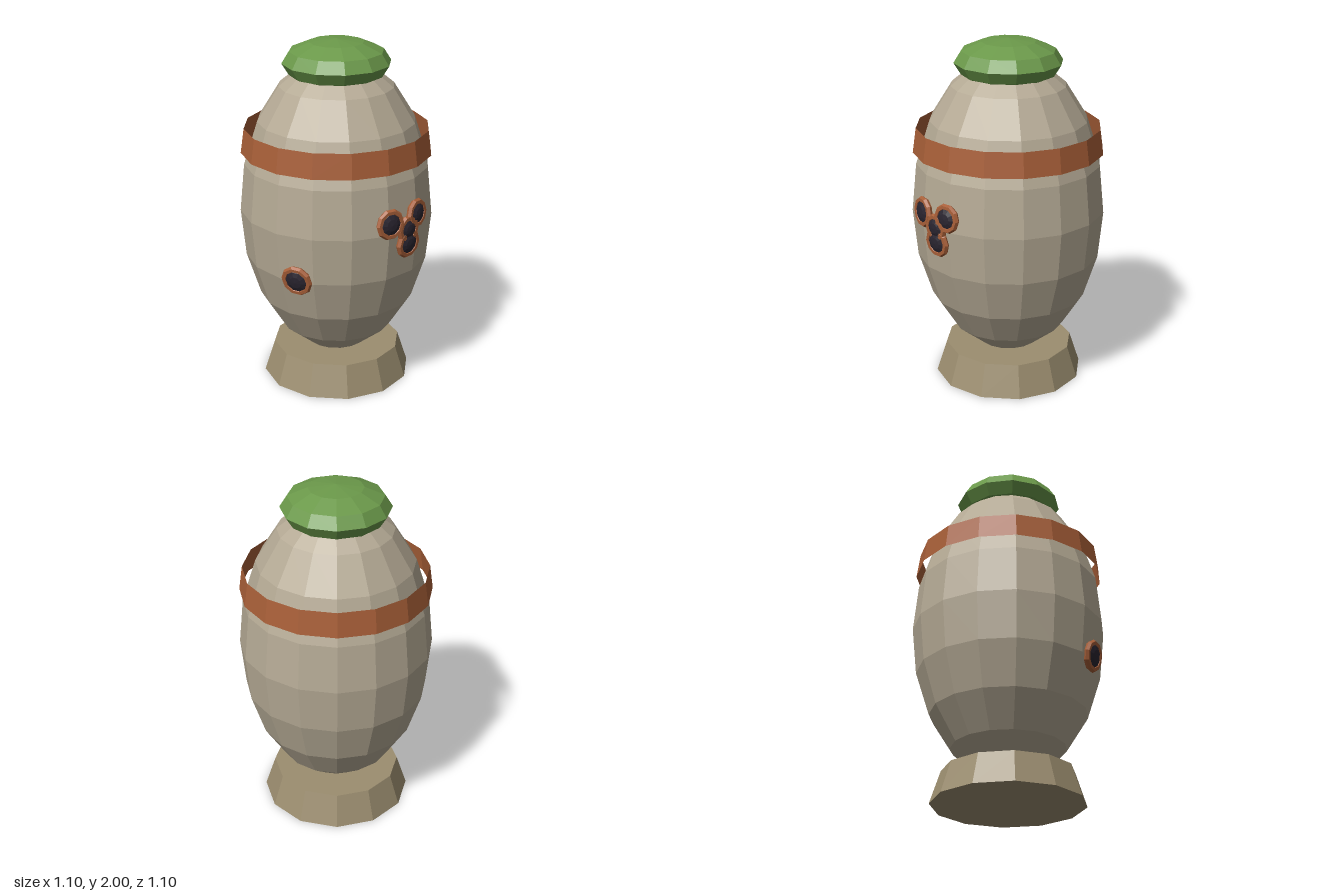
import * as THREE from 'three';

const mat = (color, side = THREE.FrontSide) =>
  new THREE.MeshStandardMaterial({ color, side, flatShading: true });

const BODY = { r: 0.55, h: 0.88, y: 1.03 };

export function createModel() {
  const root = new THREE.Group();
  const stone = mat(0xb5aa95);
  const plinth = mat(0x9c8e70);
  const rust = mat(0xa85f38);
  const band = mat(0xa85f38, THREE.DoubleSide);
  const green = mat(0x6b994a);
  const dark = mat(0x2a2530);

  const add = (parent, name, geometry, material) => {
    const mesh = new THREE.Mesh(geometry, material);
    mesh.name = name;
    parent.add(mesh);
    return mesh;
  };

  // Tapered foot
  add(root, 'base', new THREE.CylinderGeometry(0.37, 0.43, 0.185, 12), plinth).position.y = 0.0925;

  // Egg-shaped body
  const body = add(root, 'body', new THREE.SphereGeometry(1, 16, 10), stone);
  body.scale.set(BODY.r, BODY.h, BODY.r);
  body.position.y = BODY.y;

  // Loose open hoop around the shoulder
  add(root, 'hoop', new THREE.CylinderGeometry(0.52, 0.54, 0.14, 16, 1, true), band).position.y = 1.44;

  // Squashed lid
  const lid = add(root, 'lid', new THREE.SphereGeometry(1, 12, 6), green);
  lid.scale.set(0.305, 0.13, 0.305);
  lid.position.y = 1.87;

  // Rimmed ports lying on the body: angle from the front towards +x, height, outer radius
  const ports = [
    [23, 1.095, 0.088],
    [44, 1.11, 0.084],
    [36, 1.04, 0.08],
    [36.5, 0.955, 0.086],
    [-33, 0.77, 0.092],
  ];
  for (const [deg, y, size] of ports) {
    const a = THREE.MathUtils.degToRad(deg);
    const dy = y - BODY.y;
    const r = BODY.r * Math.sqrt(1 - (dy / BODY.h) ** 2);
    const normal = new THREE.Vector3(
      Math.sin(a) * r / BODY.r ** 2, dy / BODY.h ** 2, Math.cos(a) * r / BODY.r ** 2).normalize();
    const port = new THREE.Group();
    port.name = 'port';
    port.position.set(Math.sin(a) * r, y, Math.cos(a) * r);
    port.quaternion.setFromUnitVectors(new THREE.Vector3(0, 0, 1), normal);
    add(port, 'portRim', new THREE.TorusGeometry(size - 0.018, 0.018, 6, 10), rust);
    const lens = add(port, 'portLens', new THREE.SphereGeometry(1, 10, 6).rotateX(Math.PI / 2), dark);
    lens.scale.set(size - 0.022, size - 0.022, 0.026);
    root.add(port);
  }
  return root;
}
